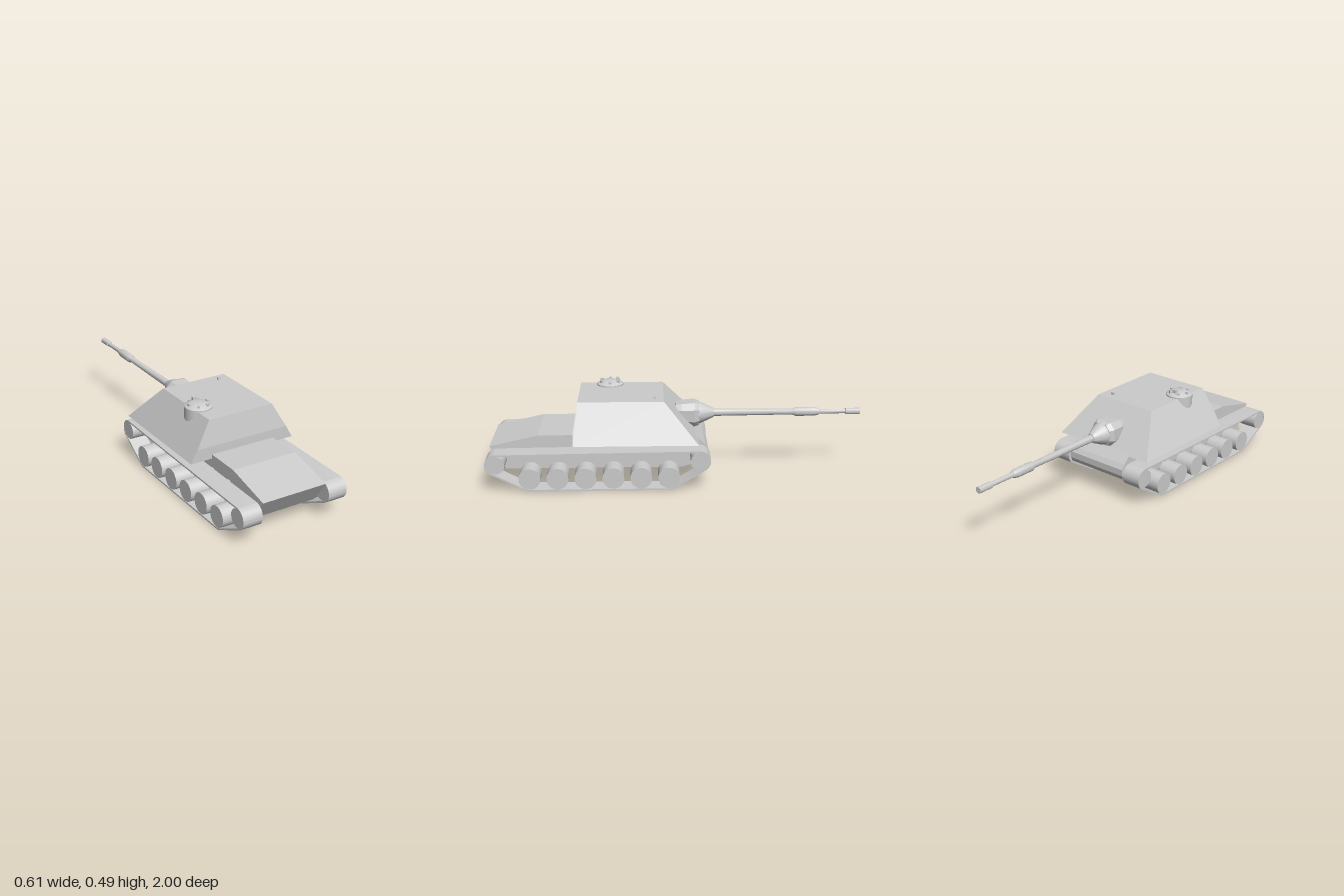
import * as THREE from 'three';
import { ConvexGeometry } from 'three/addons/geometries/ConvexGeometry.js';
import { toCreasedNormals } from 'three/addons/utils/BufferGeometryUtils.js';

const material = new THREE.MeshStandardMaterial({ color: 0xcccccc });

function add(parent, name, geometry, x = 0, y = 0, z = 0) {
  const mesh = new THREE.Mesh(geometry, material);
  mesh.name = name;
  mesh.position.set(x, y, z);
  parent.add(mesh);
  return mesh;
}

const points = (list) => list.map(([a, b]) => new THREE.Vector2(a, b));

// Extrude a side profile of (z, y) points across x, centred on x = 0
function sideExtrude(outline, width, hole) {
  const shape = new THREE.Shape(outline);
  if (hole) shape.holes.push(new THREE.Path(hole));
  return new THREE.ExtrudeGeometry(shape, { depth: width, bevelEnabled: false })
    .translate(0, 0, -width / 2).rotateY(-Math.PI / 2);
}

// Solid of revolution with crisp edges, about y
const turned = (profile, segments = 32) =>
  toCreasedNormals(new THREE.LatheGeometry(points(profile), segments), 0.5);

// Disc with its axle along x
const disc = (radius, width) => new THREE.CylinderGeometry(radius, radius, width, 32).rotateZ(Math.PI / 2);

// Belt wrapped round circles [z, y, r] listed counter-clockwise
function belt(circles, inset) {
  const n = circles.length;
  const normals = circles.map(([z, y, r], i) => {
    const [z2, y2, r2] = circles[(i + 1) % n];
    return Math.atan2(y2 - y, z2 - z) - Math.acos((r - r2) / Math.hypot(z2 - z, y2 - y));
  });
  const outline = [];
  circles.forEach(([z, y, r], i) => {
    const start = normals[(i + n - 1) % n];
    let sweep = normals[i] - start;
    while (sweep < 0) sweep += Math.PI * 2;
    const steps = Math.max(4, Math.ceil(sweep / 0.15));
    for (let k = 0; k <= steps; k++) {
      const a = start + (sweep * k) / steps;
      outline.push(new THREE.Vector2(z + Math.cos(a) * (r - inset), y + Math.sin(a) * (r - inset)));
    }
  });
  return outline;
}

function addRunningGear(root, side) {
  const gear = new THREE.Group();
  gear.name = side > 0 ? 'leftRunningGear' : 'rightRunningGear';
  root.add(gear);
  const x = side * 0.247;
  const circles = [[0.943, 0.145, 0.057], [-0.118, 0.155, 0.057], [0.043, 0.067, 0.067], [0.77, 0.067, 0.067]];
  const band = toCreasedNormals(sideExtrude(belt(circles, 0), 0.108, belt(circles, 0.009)), 0.5);
  add(gear, 'track', band, x);
  add(gear, 'idlerWheel', disc(0.048, 0.106), x, 0.145, 0.943);
  add(gear, 'driveSprocket', disc(0.048, 0.106), x, 0.155, -0.118);
  for (let i = 0; i < 6; i++) {
    const z = 0.77 - i * 0.1454;
    add(gear, 'roadWheel', disc(0.057, 0.106), x, 0.067, z);
  }
  for (let i = 0; i < 5; i++) {
    add(gear, 'returnRoller', disc(0.02, 0.07), side * 0.218, 0.18, 0.695 - i * 0.146);
  }
}

function addCupola(root) {
  const cupola = new THREE.Group();
  cupola.name = 'cupola';
  cupola.position.set(-0.15, 0, 0.355);
  root.add(cupola);
  add(cupola, 'cupolaBody', turned([[0, 0.3], [0.072, 0.3], [0.072, 0.455], [0.05, 0.468], [0.03, 0.474], [0, 0.475]]));
  for (let i = 0; i < 6; i++) {
    const a = ((i + 0.5) / 6) * Math.PI * 2;
    const block = add(cupola, 'visionBlock', new THREE.BoxGeometry(0.016, 0.012, 0.012),
      Math.sin(a) * 0.052, 0.469, Math.cos(a) * 0.052);
    block.rotation.y = a;
  }
  add(cupola, 'periscope', new THREE.BoxGeometry(0.022, 0.024, 0.016), 0, 0.475, -0.04);
}

function addGun(root) {
  const gun = new THREE.Group();
  gun.name = 'gun';
  gun.position.y = 0.328;
  root.add(gun);
  // Faceted block behind a conical shield
  const corners = [];
  for (const [z, w, h] of [[0.0, 0.06, 0.055], [-0.03, 0.068, 0.06], [-0.1, 0.073, 0.066], [-0.125, 0.058, 0.058]]) {
    for (const sx of [-1, 1]) for (const sy of [-1, 1]) {
      corners.push(new THREE.Vector3(sx * w, sy * h * 0.5, z), new THREE.Vector3(sx * w * 0.6, sy * h, z));
    }
  }
  add(gun, 'mantlet', new ConvexGeometry(corners));
  const toRear = (g) => g.rotateX(-Math.PI / 2);
  add(gun, 'mantletCone', toRear(turned([[0, 0.09], [0.064, 0.09], [0.064, 0.115], [0.055, 0.14], [0.034, 0.185], [0.024, 0.205], [0, 0.205]])));
  add(gun, 'barrel', toRear(turned([
    [0, 0.1], [0.02, 0.1], [0.02, 0.21], [0.016, 0.63], [0.024, 0.65], [0.024, 0.75],
    [0.018, 0.775], [0.013, 0.78], [0.012, 0.92], [0.017, 0.922], [0.017, 1.0], [0, 1.0],
  ])));
}

export function createModel() {
  const root = new THREE.Group();
  root.name = 'assaultGunVehicle';

  // Lower hull with sloping engine deck and nose
  add(root, 'hull', sideExtrude(points([
    [0.985, 0.21], [0.73, 0.268], [0.3, 0.268], [-0.09, 0.268], [-0.15, 0.21],
    [-0.167, 0.185], [-0.167, 0.15], [-0.155, 0.125], [-0.03, 0.085], [0.9, 0.085],
  ]), 0.366));

  // Casemate with sloped walls and a broken rear plate
  const corners = [];
  for (const s of [-1, 1]) {
    for (const [x, y, z] of [
      [0.304, 0.245, 0.54], [0.264, 0.313, 0.54], [0.187, 0.448, 0.517],
      [0.187, 0.448, 0.067], [0.304, 0.245, -0.112],
    ]) corners.push(new THREE.Vector3(s * x, y, z));
  }
  add(root, 'casemate', new ConvexGeometry(corners));
  add(root, 'roofPeriscope', new THREE.BoxGeometry(0.018, 0.016, 0.01), 0.125, 0.453, 0.115);

  addCupola(root);
  addGun(root);
  for (const side of [-1, 1]) addRunningGear(root, side);
  return root;
}
